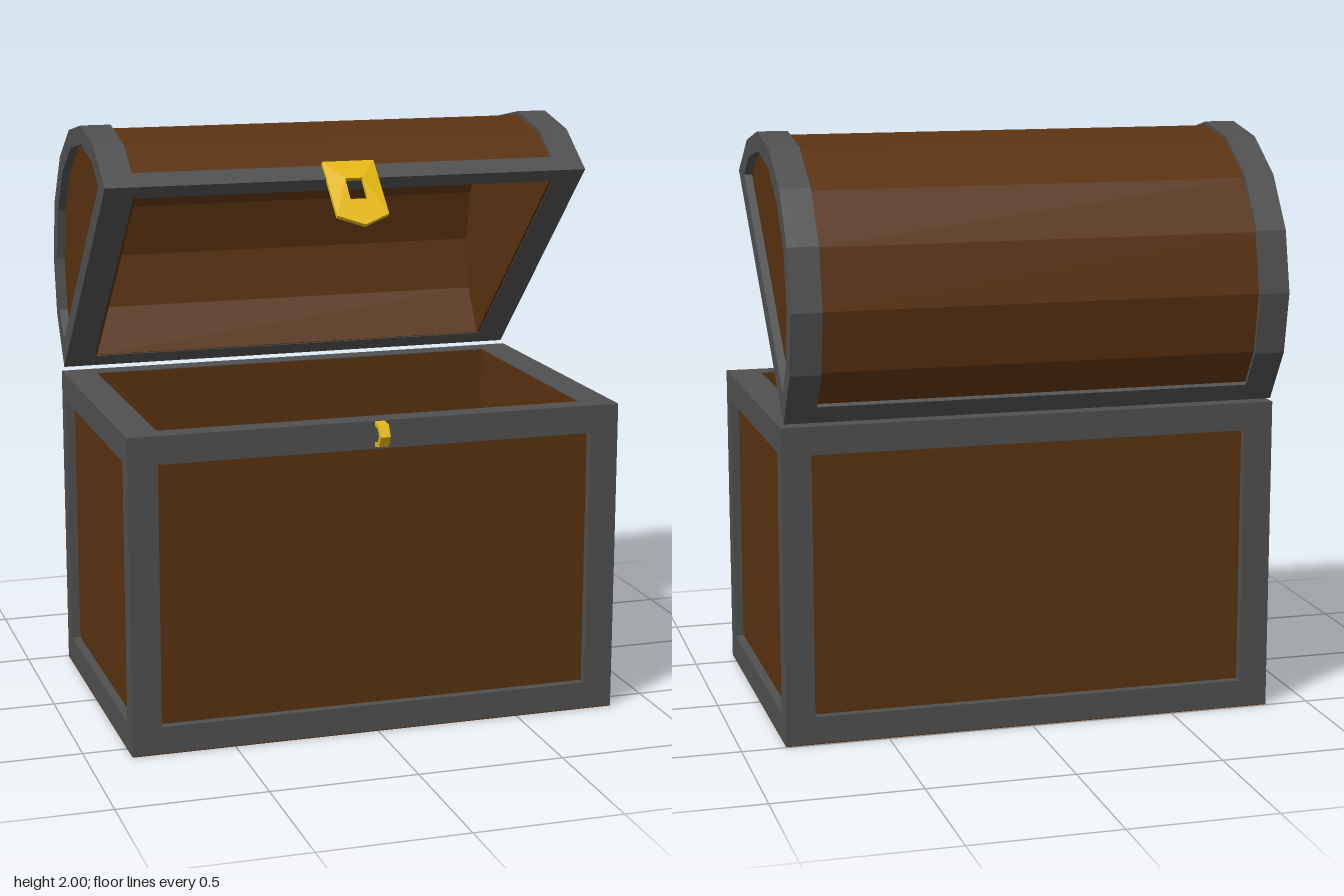
import * as THREE from 'three';

const mat = (color) => new THREE.MeshStandardMaterial({ color, flatShading: true });

export function createModel() {
  const model = new THREE.Group();
  const wood = mat(0x5a3210), iron = mat(0x505050), gold = mat(0xe6b80f);

  function add(parent, name, geometry, material, x = 0, y = 0, z = 0) {
    const mesh = new THREE.Mesh(geometry, material);
    mesh.name = name;
    mesh.position.set(x, y, z);
    parent.add(mesh);
    return mesh;
  }
  // Box given by its lower and upper corners
  function block(parent, name, material, a, b) {
    const g = new THREE.BoxGeometry(b[0] - a[0], b[1] - a[1], b[2] - a[2]);
    return add(parent, name, g, material, (a[0] + b[0]) / 2, (a[1] + b[1]) / 2, (a[2] + b[2]) / 2);
  }
  const toPoints = (list) => list.map(([u, v]) => new THREE.Vector2(u, v));
  // Extrudes a (z, y) profile along x, centred on x = 0
  function sideExtrude(outline, width, hole) {
    const shape = new THREE.Shape(toPoints(outline));
    if (hole) shape.holes.push(new THREE.Path(toPoints(hole)));
    const g = new THREE.ExtrudeGeometry(shape, { depth: width, bevelEnabled: false });
    return g.translate(0, 0, -width / 2).rotateY(-Math.PI / 2);
  }
  // Eight-sided half round, cut off at height y0
  function arch(r, y0 = 0) {
    const pts = [];
    for (let i = 0; i <= 8; i++) {
      const a = (i * Math.PI) / 8;
      pts.push([r * Math.cos(a), r * Math.sin(a)]);
    }
    const end = r - y0 * Math.tan(Math.PI / 16);
    pts[0] = [end, y0];
    pts[8] = [-end, y0];
    return pts;
  }

  // Chest body
  const body = new THREE.Group();
  body.name = 'chestBody';
  body.position.z = 0.045;
  model.add(body);
  const W = 0.85, H = 1.08, D = 0.54;
  block(body, 'bottomBoard', wood, [-W, 0, -D], [W, 0.003, D]);
  block(body, 'floor', wood, [-0.76, 0.003, -0.48], [0.76, 0.08, 0.48]);
  for (const s of [-1, 1]) {
    // Recessed panels, which also line the inside
    const sideWall = new THREE.BoxGeometry(0.085, H - 0.005, 0.98);
    add(body, 'sidePanel', sideWall, wood, s * 0.7775, H / 2, 0);
    const longWall = new THREE.BoxGeometry(1.56, H - 0.005, 0.045);
    add(body, 'longPanel', longWall, wood, 0, H / 2, s * 0.4875);
    // Iron rails at top and bottom
    for (const [y0, y1] of [[0.003, 0.095], [0.985, H]]) {
      const h = y1 - y0, y = (y0 + y1) / 2;
      add(body, 'longRail', new THREE.BoxGeometry(2 * W, h, 0.074), iron, 0, y, s * (D - 0.037));
      add(body, 'sideRail', new THREE.BoxGeometry(0.114, h, 2 * D - 0.148), iron, s * (W - 0.057), y, 0);
    }
    // Corner posts
    for (const t of [-1, 1]) {
      const post = new THREE.BoxGeometry(0.1, 0.89, 0.074);
      add(body, 'cornerPost', post, iron, s * (W - 0.05), 0.54, t * (D - 0.037));
    }
  }

  // Lock loop on the front
  const loopOuter = [[0.575, 1.08], [0.625, 1.073], [0.647, 1.037], [0.627, 1.0], [0.575, 0.99]];
  const loopInner = [[0.575, 1.065], [0.616, 1.058], [0.629, 1.037], [0.616, 1.014], [0.575, 1.006]];
  add(model, 'lockLoop', sideExtrude([...loopOuter, ...loopInner.reverse()], 0.035), gold);

  // Open lid, modelled closed about the middle of its base and tilted back
  const lid = new THREE.Group();
  lid.name = 'lid';
  lid.position.set(0, 1.466, -0.11);
  lid.rotation.x = -0.767;
  model.add(lid);
  const R = 0.538;
  const shell = [...arch(0.525, 0.003), ...arch(0.475, 0.003).reverse()];
  add(lid, 'barrelTop', sideExtrude(shell, 1.475), wood);
  for (const s of [-1, 1]) {
    add(lid, 'endBand', sideExtrude(arch(R), 0.073), iron, s * 0.7735);
    add(lid, 'endFrame', sideExtrude(arch(R), 0.03, arch(0.474, 0.068)), iron, s * 0.825);
    add(lid, 'endPanel', sideExtrude(arch(0.49, 0.05), 0.01), wood, s * 0.8075);
    add(lid, 'endLining', sideExtrude(arch(0.477, 0.003), 0.01), wood, s * 0.733);
    const rail = [[s * 0.477, 0], [s * R, 0], [s * 0.5245, 0.068], [s * 0.49, 0.068]];
    add(lid, 'lidRail', sideExtrude(rail, 1.475), iron);
  }

  // Hasp plate with a pointed end and a square slot
  const plate = new THREE.Shape(toPoints([[-0.09, 0.072], [-0.09, -0.16], [0, -0.2], [0.09, -0.16], [0.09, 0.072]]));
  plate.holes.push(new THREE.Path(toPoints([[-0.03, -0.01], [0.03, -0.01], [0.03, -0.095], [-0.03, -0.095]])));
  const hasp = new THREE.ExtrudeGeometry(plate, { depth: 0.015, bevelEnabled: false });
  // Lean the upper part onto the slope of the lid
  const p = hasp.attributes.position;
  for (let i = 0; i < p.count; i++) {
    if (p.getY(i) > 0.05) p.setZ(i, p.getZ(i) - 0.014);
  }
  hasp.computeVertexNormals();
  add(lid, 'hasp', hasp, gold, 0, 0, 0.54);

  return model;
}
